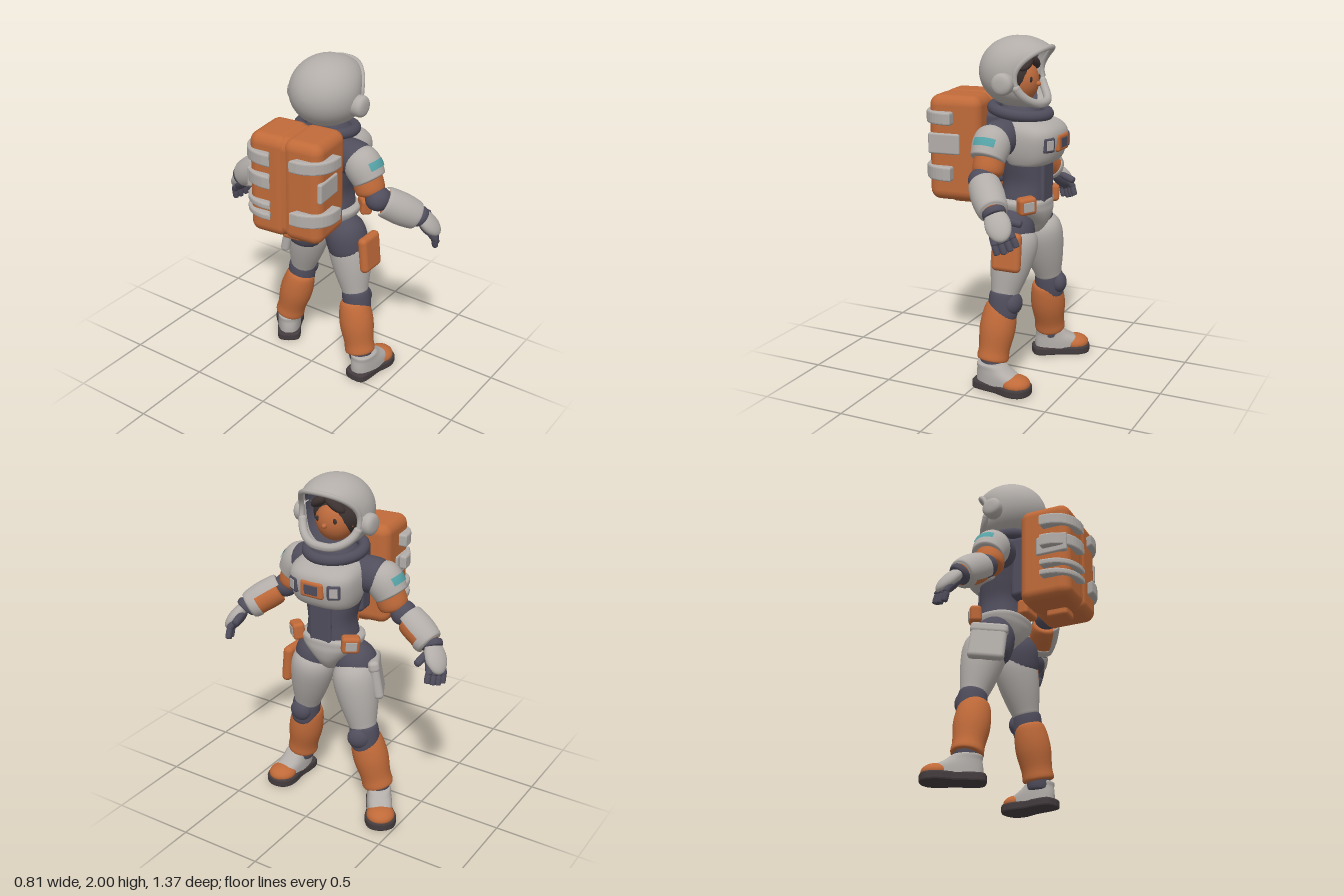
import * as THREE from 'three';
import { RoundedBoxGeometry } from 'three/addons/geometries/RoundedBoxGeometry.js';

const V = (x, y, z) => new THREE.Vector3(x, y, z);
const mat = (name, color, side = THREE.FrontSide) => {
  const m = new THREE.MeshStandardMaterial({ color, side });
  m.name = name;
  return m;
};

export function createModel() {
  const model = new THREE.Group();
  model.name = 'astronaut';
  const white = mat('suitGrey', 0xb2ada9, THREE.DoubleSide);
  const orange = mat('suitOrange', 0xc06a39, THREE.DoubleSide);
  const dark = mat('jointSlate', 0x504d5c, THREE.DoubleSide);
  const teal = mat('patchTeal', 0x55a2a6, THREE.DoubleSide);
  const sole = mat('soleBlack', 0x443c3e);
  const hairMat = mat('hairBrown', 0x3c3231);
  const skin = mat('skin', 0xbd6a3c);

  const add = (name, geo, material, pos = [0, 0, 0], parent = model) => {
    const m = new THREE.Mesh(geo, material);
    m.name = name;
    m.position.set(...pos);
    parent.add(m);
    return m;
  };
  const box = (name, material, size, pos, r = 0.015, parent = model) =>
    add(name, new RoundedBoxGeometry(...size, 4, r), material, pos, parent);
  const ball = (name, material, radii, pos, parent = model) => {
    const m = add(name, new THREE.SphereGeometry(1, 28, 20), material, pos, parent);
    m.scale.set(...radii);
    return m;
  };
  // Turned part from a to b; profile holds [fraction along, radius]; the angle arc is centred on ref
  const limb = (name, material, a, b, profile, { ref = [1, 0, 0], arc = Math.PI, parent = model } = {}) => {
    const A = V(...a), d = V(...b).sub(A), len = d.length();
    d.normalize();
    const pts = new THREE.SplineCurve(profile.map(([t, r]) => new THREE.Vector2(r, t * len)))
      .getPoints(24).map(p => p.set(Math.max(p.x, 0), p.y));
    const m = add(name, new THREE.LatheGeometry(pts, 28, -arc, arc * 2), material, a, parent);
    const z = V(...ref);
    z.addScaledVector(d, -z.dot(d)).normalize();
    m.quaternion.setFromRotationMatrix(new THREE.Matrix4().makeBasis(d.clone().cross(z), d, z));
    return m;
  };
  const round = r => [[0, 0], [0.03, r * 0.6], [0.15, r], [0.85, r], [0.97, r * 0.6], [1, 0]];
  const mesh = (pos, idx) => {
    const g = new THREE.BufferGeometry();
    g.setAttribute('position', new THREE.Float32BufferAttribute(pos, 3));
    g.setIndex(idx);
    g.computeVertexNormals();
    return g;
  };
  // Stacked horizontal sections: [y, centre x, centre z, radius x, radius z]
  const loft = (name, material, rings, power = 0.85, parent = model) => {
    const N = 36, pos = [], idx = [];
    const sp = v => Math.sign(v) * Math.abs(v) ** power;
    const curve = k => new THREE.SplineCurve(rings.map(r => new THREE.Vector2(r[0], r[k]))).getPoints(24);
    const [cx, cz, rx, rz] = [1, 2, 3, 4].map(curve);
    cx.forEach((p, j) => {
      for (let i = 0; i < N; i++) {
        const a = i / N * Math.PI * 2;
        pos.push(p.y + Math.max(rx[j].y, 0) * sp(Math.cos(a)), p.x, cz[j].y + Math.max(rz[j].y, 0) * sp(Math.sin(a)));
        if (j < 24) {
          const q = j * N + i, n = j * N + (i + 1) % N;
          idx.push(q, q + N, n, n, q + N, n + N);
        }
      }
    });
    return add(name, mesh(pos, idx), material, [0, 0, 0], parent);
  };

  // Helmet: shell swept from the back pole to a curved visor rim, with a dark liner inside
  const C = V(0.1, 1.803, 0.025), rim = [], hp = [], hi = [], M = 56, K = 24;
  for (let i = 0; i < M; i++) {
    const a = i / M * Math.PI * 2, s = Math.sin(a), c = Math.cos(a);
    const y = 1.785 + (s > 0 ? 0.158 : 0.16) * Math.sign(s) * Math.abs(s) ** 0.85;
    rim.push(V(0.175 + (s > 0 ? 5 : 3.9) * (y - 1.785) ** 2, y, 0.025 + 0.188 * Math.sign(c) * Math.abs(c) ** 0.8));
  }
  for (let j = 0; j <= K; j++) for (let i = 0; i < M; i++) {
    const t = j / K, e = rim[i].clone().sub(C), dist = e.length();
    e.normalize();
    const ang = Math.acos(-e.x), side = V(0, e.y, e.z).normalize(), th = ang * t;
    const p = V(-Math.cos(th), 0, 0).addScaledVector(side, Math.sin(th));
    const r = 1 / Math.hypot(p.x / 0.21, p.y / 0.195, p.z / 0.208);
    p.multiplyScalar(r + (dist - r) * t ** 5).add(C);
    hp.push(p.x, p.y, p.z);
    if (j < K) {
      const q = j * M + i, n = j * M + (i + 1) % M;
      hi.push(q, n, q + M, n, n + M, q + M);
    }
  }
  add('helmetShell', mesh(hp, hi), white);
  const liner = add('helmetLiner', mesh(hp, hi.slice(0, M * 6 * 21)).translate(-C.x, -C.y, -C.z), dark, C.toArray());
  liner.scale.setScalar(0.955);
  add('visorRim', new THREE.TubeGeometry(new THREE.CatmullRomCurve3(rim, true), 100, 0.015, 8, true), white);
  const chin = rim.slice(M / 2 + 3, M - 2);
  add('chinGuard', new THREE.TubeGeometry(new THREE.CatmullRomCurve3(chin), 50, 0.024, 10), white, [-0.008, 0.006, 0]);
  for (const p of [chin[0], chin[chin.length - 1]]) ball('chinGuardEnd', white, [0.024, 0.024, 0.024], [p.x - 0.008, p.y + 0.006, p.z]);
  for (const [z, s] of [[0.25, 1], [-0.195, -1]])
    limb('helmetEarDisc', white, [0.117, 1.755, z - s * 0.04], [0.117, 1.755, z + s * 0.034],
      [[0, 0.06], [0.6, 0.062], [0.85, 0.052], [0.97, 0.03], [1, 0]]);
  const ring = add('neckRing', new THREE.TorusGeometry(0.158, 0.033, 14, 40), dark, [0.125, 1.583, 0.022]);
  ring.rotation.set(Math.PI / 2, -0.13, 0);

  // Head
  ball('head', skin, [0.112, 0.125, 0.112], [0.12, 1.75, 0.025]);
  ball('hair', hairMat, [0.135, 0.135, 0.155], [0.075, 1.78, 0.025]);
  for (const [s, w] of [[1, 0.062], [-1, 0.075]]) {
    const f = ball('fringe', hairMat, [0.045, 0.03, w], [0.18, 1.858, 0.04 - 0.015 * s + s * 0.062]);
    f.rotation.x = s * 0.6;
    ball('ear', skin, [0.02, 0.03, 0.015], [0.13, 1.75, 0.025 + s * 0.114]);
    ball('eye', hairMat, [0.006, 0.016, 0.013], [0.216, 1.767, 0.025 + s * 0.055]);
  }
  ball('nose', skin, [0.018, 0.014, 0.014], [0.234, 1.738, 0.025]);

  // Torso and pelvis
  loft('torso', dark, [[1.0, 0.16, 0.02, 0.1, 0.12], [1.06, 0.16, 0.02, 0.135, 0.15], [1.18, 0.165, 0.02, 0.13, 0.135],
    [1.3, 0.15, 0.02, 0.14, 0.16], [1.45, 0.13, 0.02, 0.14, 0.19], [1.54, 0.13, 0.02, 0.13, 0.16], [1.62, 0.13, 0.02, 0.1, 0.1]]);
  box('abdomenPanel', dark, [0.03, 0.25, 0.14], [0.288, 1.18, 0.02], 0.014);
  loft('chestArmor', white, [[1.285, 0.2, 0.02, 0, 0], [1.29, 0.2, 0.02, 0.1, 0.15], [1.32, 0.208, 0.02, 0.145, 0.185],
    [1.4, 0.21, 0.02, 0.168, 0.205], [1.48, 0.207, 0.02, 0.173, 0.205], [1.53, 0.17, 0.02, 0.158, 0.175], [1.555, 0.13, 0.02, 0.1, 0.12]], 0.75);
  loft('pelvis', white, [[0.872, 0.18, 0.01, 0, 0], [0.88, 0.18, 0.01, 0.06, 0.035], [0.94, 0.17, 0.01, 0.12, 0.085],
    [1.0, 0.165, 0.015, 0.145, 0.145], [1.045, 0.16, 0.02, 0.15, 0.178], [1.09, 0.155, 0.02, 0.138, 0.165], [1.095, 0.155, 0.02, 0, 0]]);
  box('chestPanelFrame', orange, [0.04, 0.095, 0.145], [0.372, 1.42, 0.015]);
  box('chestPanelScreen', dark, [0.008, 0.055, 0.085], [0.392, 1.42, 0.015], 0.003);
  for (const s of [1, -1]) {
    const g = new THREE.Group();
    g.name = 'chestGauge';
    g.position.set(0.347, 1.42, 0.018 + s * 0.125);
    g.rotation.y = -s * 0.5;
    box('gaugeFrame', dark, [0.045, 0.085, 0.075], [0, 0, 0], 0.012, g);
    box('gaugeFace', white, [0.008, 0.055, 0.046], [0.022, 0, 0], 0.003, g);
    const p = new THREE.Group();
    p.name = 'beltPouch';
    p.position.set(0.25, 1.08, 0.028 + s * 0.18);
    p.rotation.set(s * 0.1, -s * 0.7, 0);
    box('pouchBody', orange, [0.07, 0.1, 0.105], [0, 0, 0], 0.02, p);
    box('pouchLabel', white, [0.008, 0.056, 0.064], [0.035, 0, 0], 0.003, p);
    model.add(g, p);
  }
  box('lowerBackClip', orange, [0.07, 0.1, 0.14], [0.0, 1.13, 0.03], 0.02);

  // Backpack
  const pack = new THREE.Group();
  pack.name = 'backpack';
  pack.position.set(-0.2, 1.372, 0.045);
  pack.rotation.y = 0.1;
  model.add(pack);
  box('packCore', orange, [0.295, 0.595, 0.4], [0, 0, 0], 0.07, pack);
  box('packNozzle', orange, [0.13, 0.08, 0.12], [-0.01, -0.305, 0], 0.02, pack);
  box('packMount', dark, [0.14, 0.4, 0.22], [0.19, 0, -0.01], 0.03, pack);
  const cornerBar = (s, y, h) => {
    const pts = [], sq = v => Math.abs(v) ** 0.85;
    for (let i = 0; i <= 24; i++) {
      const k = i <= 12 ? i : 24 - i, a = Math.PI / 2 * k / 12, r = i <= 12 ? 0 : 0.045;
      pts.push(new THREE.Vector2(-0.01 - (0.175 - r) * sq(Math.sin(a)), s * (0.075 + (0.188 - r) * sq(Math.cos(a)))));
    }
    const geo = new THREE.ExtrudeGeometry(new THREE.Shape(pts), { depth: h, bevelSize: 0.012, bevelThickness: 0.012, bevelSegments: 3 });
    add('packCornerBar', geo.rotateX(Math.PI / 2), white, [0, y + h / 2, 0], pack);
  };
  for (const s of [1, -1]) {
    box('packHalf', orange, [0.31, 0.605, 0.24], [0, 0, s * 0.106], 0.06, pack);
    box('packSidePlate', white, [0.19, 0.12, 0.03], [-0.055, 0.03, s * 0.222], 0.012, pack);
  }
  for (const [y, h] of [[0.178, 0.05], [-0.137, 0.06]]) cornerBar(1, y, h);
  for (const [y, h] of [[0.178, 0.05], [0.045, 0.055], [-0.1, 0.015], [-0.165, 0.015]]) cornerBar(-1, y, h);

  // Arms: s is +1 for the right arm (+z) and -1 for the left
  const arm = (s, sh, el, wr, kn, thumbDir) => {
    const side = s > 0 ? 'right' : 'left';
    const top = [sh[0], sh[1] + 0.07, sh[2] - s * 0.06], low = [sh[0] - 0.005, sh[1] - 0.1, sh[2] + s * 0.05];
    const capProfile = [[0, 0], [0.03, 0.05], [0.2, 0.092], [0.5, 0.108], [0.85, 0.1], [0.97, 0.085], [1, 0]];
    limb(side + 'ArmSocket', dark, [sh[0] + 0.02, sh[1] + 0.01, sh[2] - s * 0.16], sh, round(0.1));
    limb(side + 'ShoulderCap', white, top, low, capProfile);
    limb(side + 'ShoulderPatch', teal, top, low, [[0.52, 0.111], [0.62, 0.1115], [0.75, 0.109]], { ref: [0, 0.6, s * 0.75], arc: 0.62 });
    limb(side + 'UpperArmBand', orange, sh, [el[0] + 0.005, el[1] + 0.01, sh[2] + s * 0.055], [[0, 0], [0.05, 0.07], [0.5, 0.086], [0.92, 0.078], [1, 0]]);
    ball(side + 'Elbow', dark, [0.08, 0.07, 0.072], el);
    const out = [-0.4, 0.6, s * 0.7];
    limb(side + 'ForearmInner', orange, el, wr, [[0, 0], [0.18, 0.03], [0.22, 0.078], [0.6, 0.082], [0.9, 0.07], [1, 0]]);
    limb(side + 'ForearmShell', white, el, wr, [[0.12, 0.078], [0.18, 0.09], [0.55, 0.095], [0.88, 0.084], [0.94, 0.068]], { ref: out, arc: 1.8 });
    limb(side + 'ForearmCuff', white, el, wr, [[0.72, 0.075], [0.76, 0.086], [0.9, 0.08], [0.95, 0.062]]);
    const w = V(...wr), d = V(...kn).sub(w).normalize();
    limb(side + 'WristRing', dark, w.clone().addScaledVector(d, -0.03).toArray(), w.clone().addScaledVector(d, 0.015).toArray(), round(0.062));
    // Hand frame: y along the fingers, x toward the thumb
    const hand = new THREE.Group();
    hand.name = side + 'Hand';
    const x = V(...thumbDir);
    x.addScaledVector(d, -x.dot(d)).normalize();
    hand.quaternion.setFromRotationMatrix(new THREE.Matrix4().makeBasis(x, d, x.clone().cross(d)));
    hand.position.copy(w);
    model.add(hand);
    const b = -s;
    ball('palm', dark, [0.06, 0.075, 0.03], [0, 0.085, -b * 0.012], hand);
    ball('gloveBack', white, [0.07, 0.1, 0.04], [0, 0.07, b * 0.012], hand);
    for (let i = 0; i < 4; i++) {
      const fx = (i - 1.5) * 0.03, L = 0.1 - Math.abs(i - 1.3) * 0.01;
      const mid = [fx * 1.15, 0.12 + L * 0.55, -b * 0.012], tip = [fx * 1.2, 0.12 + L, -b * 0.045];
      limb('fingerBase', dark, [fx, 0.1, -b * 0.004], mid, round(0.019), { parent: hand, ref: [0, 0, 1] });
      limb('fingerTip', dark, [mid[0], mid[1] - 0.015, mid[2]], tip, round(0.0175), { parent: hand });
    }
    limb('thumb', dark, [0.035, 0.04, -b * 0.01], [0.12, 0.1, -b * 0.02], round(0.021), { parent: hand, ref: [0, 0, 1] });
  };
  arm(1, [0.08, 1.445, 0.3], [0.075, 1.25, 0.405], [0.235, 1.12, 0.585], [0.325, 1.0, 0.66], [0.8, 0.1, -0.25]);
  arm(-1, [0.075, 1.445, -0.265], [0.05, 1.25, -0.375], [0.085, 1.115, -0.575], [0.15, 1.0, -0.65], [0.8, 0.1, 0.3]);

  // Legs
  const leg = (s, knee, ankle, foot, yaw) => {
    const side = s > 0 ? 'right' : 'left', hz = 0.015 + s * 0.105, k = V(...knee);
    limb(side + 'Hip', dark, [0.135, 1.05, hz], [0.145, 0.76, 0.01 + s * 0.17], [[0, 0], [0.06, 0.06], [0.3, 0.115], [0.6, 0.124], [0.9, 0.1], [1, 0]]);
    limb(side + 'Thigh', white, [0.175, 0.95, 0.01 + s * 0.125], [knee[0], 0.54, knee[2]],
      [[0, 0], [0.03, 0.06], [0.12, 0.112], [0.3, 0.13], [0.6, 0.115], [0.9, 0.085], [0.98, 0.07], [1, 0]]);
    limb(side + 'KneeJoint', dark, [knee[0], 0.58, knee[2]], [knee[0], 0.4, knee[2] + s * 0.02], round(0.082));
    const pad = ball(side + 'KneePad', dark, [0.05, 0.065, 0.068], k.clone().add(V(0.06, 0.005, s * 0.008)).toArray());
    pad.rotation.y = s > 0 ? -0.1 : 0.5;
    limb(side + 'ShinGuard', orange, [knee[0] - 0.015, 0.5, knee[2]], [ankle[0], 0.168, ankle[2]],
      [[0, 0.055], [0.04, 0.084], [0.25, 0.1], [0.5, 0.103], [0.8, 0.09], [0.96, 0.092], [1, 0.08], [1, 0.05]]);
    limb(side + 'Ankle', dark, [ankle[0], 0.26, ankle[2]], [ankle[0], 0.1, ankle[2]], round(0.066));
    const boot = new THREE.Group();
    boot.name = side + 'Boot';
    boot.position.set(...foot);
    boot.rotation.y = yaw;
    model.add(boot);
    const outline = new THREE.Shape().moveTo(-0.165, 0).splineThru([[-0.15, 0.055], [-0.08, 0.066], [0, 0.066], [0.09, 0.082],
      [0.155, 0.062], [0.178, 0], [0.155, -0.062], [0.09, -0.082], [0, -0.066], [-0.08, -0.066], [-0.15, -0.055], [-0.165, 0]].map(p => new THREE.Vector2(...p)));
    const sg = new THREE.ExtrudeGeometry(outline, { depth: 0.03, bevelSize: 0.01, bevelThickness: 0.01, bevelSegments: 2, curveSegments: 5 });
    add('sole', sg.rotateX(Math.PI / 2), sole, [0, 0.046, 0], boot);
    loft('bootUpper', white, [[0.05, 0, 0, 0.155, 0.075], [0.09, -0.01, 0, 0.145, 0.074], [0.13, -0.045, 0, 0.105, 0.07],
      [0.16, -0.066, 0, 0.083, 0.068], [0.165, -0.066, 0, 0.05, 0.05]], 0.85, boot);
    ball('toeCap', orange, [0.086, 0.05, 0.082], [0.095, 0.064, 0], boot);
  };
  leg(1, [0.125, 0.5, 0.235], [0.085, 0, 0.305], [0.155, 0, 0.335], -0.1);
  leg(-1, [0.21, 0.5, -0.215], [0.185, 0, -0.305], [0.235, 0, -0.345], 0.6);

  // Thigh pockets
  const p1 = box('rightThighPocket', orange, [0.175, 0.225, 0.06], [0.17, 0.825, 0.298], 0.029);
  p1.rotation.x = -0.1;
  const p2 = box('leftThighPocket', white, [0.21, 0.23, 0.055], [0.105, 0.845, -0.24], 0.024);
  p2.rotation.set(0.2, 0.5, 0);
  box('pocketFlap', white, [0.22, 0.07, 0.065], [0, 0.085, 0], 0.025, p2);
  return model;
}
